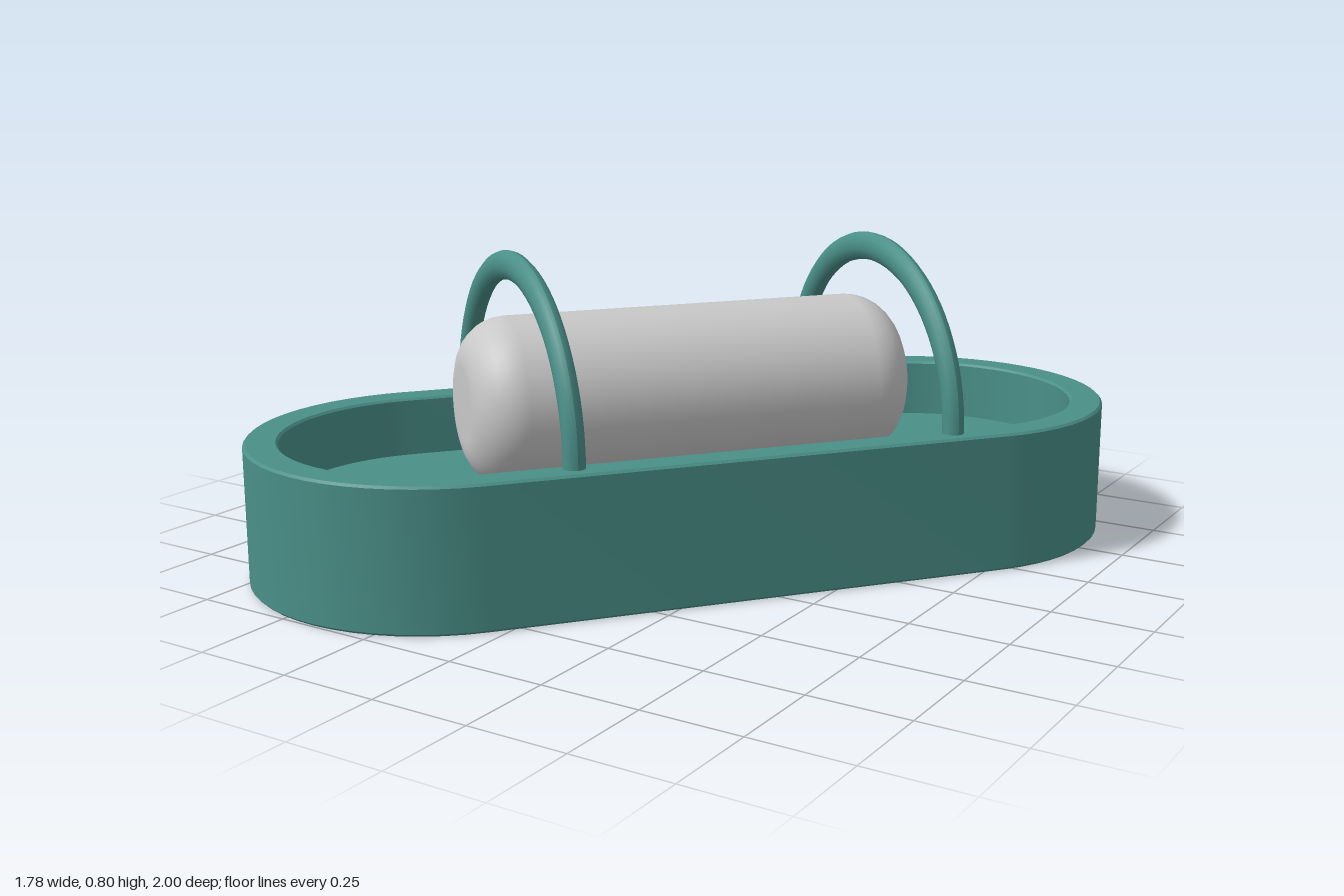
import * as THREE from 'three';
import { toCreasedNormals } from 'three/addons/utils/BufferGeometryUtils.js';

const AXIS = Math.atan2(0.52, 0.41); // heading of the tray
const HALF = 0.662; // half distance between the centres of the round ends

// Capsule-shaped outline lying along x
function stadium(path, r) {
  path.absarc(HALF, 0, r, -Math.PI / 2, Math.PI / 2, false);
  path.absarc(-HALF, 0, r, Math.PI / 2, Math.PI * 1.5, false);
  path.closePath();
  return path;
}

// Upright slab of a given outline between two heights, with slim bevels
function slab(shape, y0, y1, bevel) {
  const geo = new THREE.ExtrudeGeometry(shape, {
    depth: y1 - y0 - 2 * bevel, curveSegments: 14, bevelEnabled: bevel > 0,
    bevelThickness: bevel, bevelSize: bevel, bevelOffset: -bevel, bevelSegments: 1,
  });
  geo.rotateX(-Math.PI / 2).translate(0, y0 + bevel, 0);
  return toCreasedNormals(geo, 0.5);
}

// Half-ring handle, thicker towards its crown
function hoopGeometry() {
  const R = 0.424, height = 0.408;
  const geo = new THREE.TorusGeometry(R, 0.027, 14, 40, Math.PI);
  const p = geo.attributes.position;
  for (let i = 0; i < p.count; i++) {
    const x = p.getX(i), y = p.getY(i), d = Math.hypot(x, y);
    const s = y / d, off = (d - R) * (1 + 0.37 * s);
    p.setXY(i, (R + off) * (x / d), (height + off) * s);
  }
  geo.computeVertexNormals();
  return geo;
}

export function createModel() {
  const teal = new THREE.MeshStandardMaterial({ color: 0x4a8f88 });
  teal.name = 'teal';
  const grey = new THREE.MeshStandardMaterial({ color: 0xc8c8c8 });
  grey.name = 'light grey';

  const root = new THREE.Group();
  root.name = 'trayWithRoll';
  const add = (parent, name, geo, mat) => {
    const mesh = new THREE.Mesh(geo, mat);
    mesh.name = name;
    parent.add(mesh);
    return mesh;
  };

  // Tray: rim wall around a recessed floor
  const tray = new THREE.Group();
  tray.name = 'tray';
  tray.rotation.y = AXIS;
  root.add(tray);
  const ring = stadium(new THREE.Shape(), 0.48);
  ring.holes.push(stadium(new THREE.Path(), 0.395));
  add(tray, 'trayWall', slab(ring, 0, 0.355, 0.006), teal);
  add(tray, 'trayFloor', slab(stadium(new THREE.Shape(), 0.42), 0.001, 0.2, 0), teal);

  // Roll: cylinder with rounded rims, resting on the floor
  const r = 0.215, f = 0.12, L = 0.58;
  const profile = [new THREE.Vector2(0, -L)];
  for (const end of [-1, 1]) {
    for (let i = 0; i <= 8; i++) {
      const a = (end < 0 ? i - 8 : i) / 8 * Math.PI / 2;
      profile.push(new THREE.Vector2(r - f + f * Math.cos(a), end * (L - f) + f * Math.sin(a)));
    }
  }
  profile.push(new THREE.Vector2(0, L));
  const roll = add(root, 'roll', new THREE.LatheGeometry(profile, 40).rotateZ(-Math.PI / 2), grey);
  roll.position.set(-0.008, 0.425, 0.03);
  roll.rotation.y = AXIS;

  // Two hoops standing on the rim, set slightly askew
  const hoop = hoopGeometry();
  [['frontHoop', -0.29, 0.365], ['backHoop', 0.315, -0.4]].forEach(([name, x, z]) => {
    const mesh = add(root, name, hoop, teal);
    mesh.position.set(x, 0.354, z);
    mesh.rotation.y = -0.602;
  });
  return root;
}
